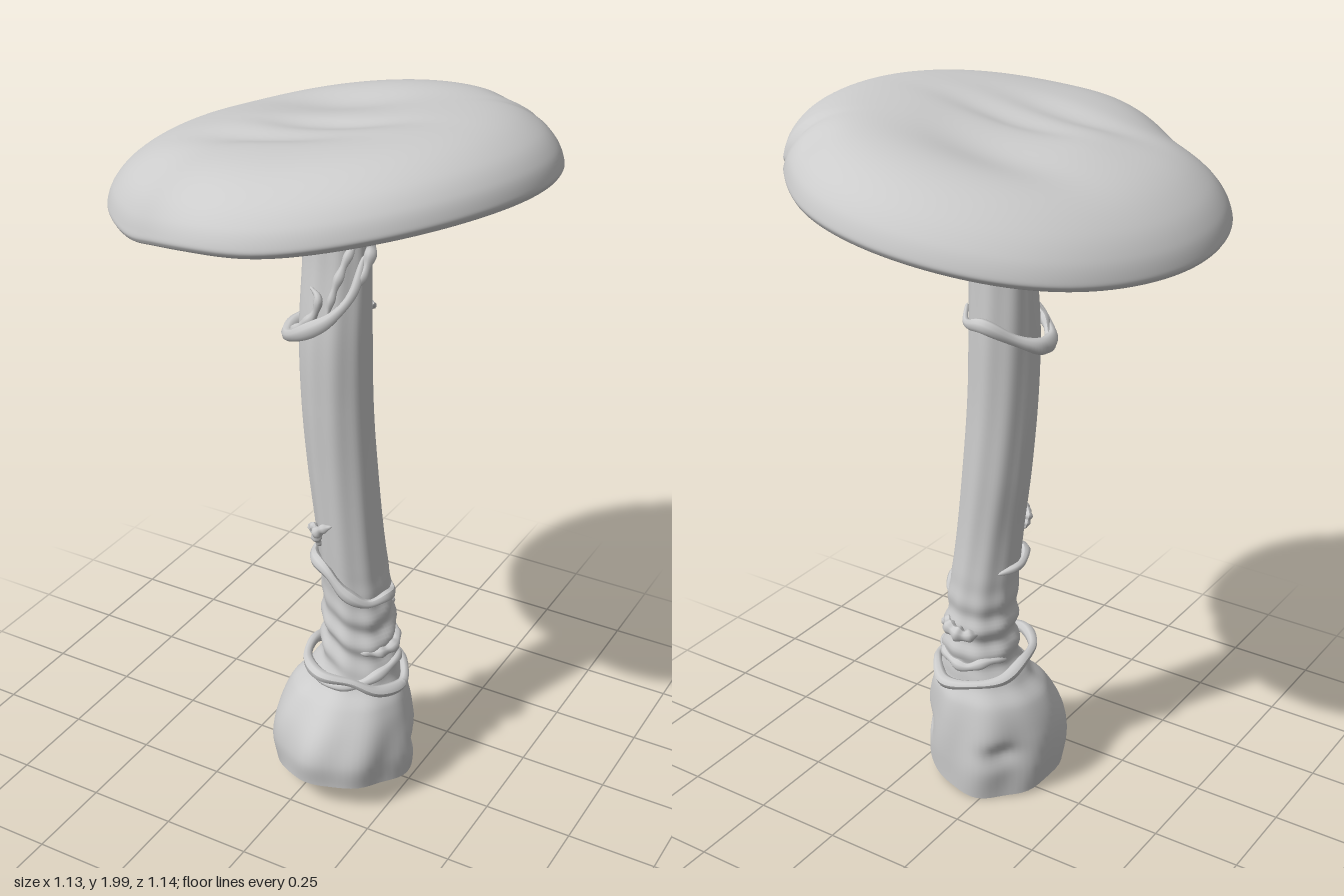
import * as THREE from 'three';
import { mergeVertices } from 'three/addons/utils/BufferGeometryUtils.js';

const material = new THREE.MeshStandardMaterial({ color: 0xcccccc, roughness: 0.8 });
const deg = Math.PI / 180;
const gauss = (d, w) => Math.exp(-(d * d) / (w * w));
const angleGap = (a, b) => Math.atan2(Math.sin(a - b), Math.cos(a - b));

// Stem outline by height: y, left x, right x, back z, front z
const stemRows = [
  [0, -0.125, 0.262, -0.14, 0.245],
  [0.1, -0.135, 0.265, -0.145, 0.25],
  [0.2, -0.13, 0.255, -0.14, 0.225],
  [0.3, -0.1, 0.235, -0.125, 0.175],
  [0.36, -0.055, 0.21, -0.1, 0.13],
  [0.42, -0.025, 0.195, -0.1, 0.11],
  [0.6, -0.02, 0.17, -0.1, 0.1],
  [0.8, -0.032, 0.147, -0.085, 0.105],
  [1.0, -0.055, 0.13, -0.08, 0.11],
  [1.2, -0.07, 0.117, -0.075, 0.115],
  [1.4, -0.077, 0.11, -0.075, 0.112],
  [1.6, -0.077, 0.102, -0.072, 0.085],
  [1.73, -0.078, 0.09, -0.078, 0.08],
  [1.79, -0.092, 0.1, -0.1, 0.1],
  [1.84, -0.13, 0.13, -0.135, 0.135],
];

// Cubic interpolation between the rows
function section(y) {
  let i = 0;
  while (i < stemRows.length - 2 && y > stemRows[i + 1][0]) i++;
  const row = (k) => stemRows[Math.min(Math.max(k, 0), stemRows.length - 1)];
  const [p, a, b, n] = [row(i - 1), row(i), row(i + 1), row(i + 2)];
  const h = b[0] - a[0];
  const t = (y - a[0]) / h;
  const [x0, x1, z0, z1] = [1, 2, 3, 4].map((k) => {
    const m0 = ((b[k] - p[k]) / (b[0] - p[0])) * h;
    const m1 = ((n[k] - a[k]) / (n[0] - a[0])) * h;
    const t2 = t * t, t3 = t2 * t;
    return (2 * t3 - 3 * t2 + 1) * a[k] + (t3 - 2 * t2 + t) * m0 + (3 * t2 - 2 * t3) * b[k] + (t3 - t2) * m1;
  });
  return { cx: (x0 + x1) / 2, cz: (z0 + z1) / 2, rx: (x1 - x0) / 2, rz: (z1 - z0) / 2 };
}

// Point on the stem: angle 0 = +x, 90 degrees = +z
function onStem(a, y, off = 0) {
  const s = section(y);
  return new THREE.Vector3(s.cx + (s.rx + off) * Math.cos(a), y, s.cz + (s.rz + off) * Math.sin(a));
}

// Slanted cut under the bulb
const cutHeight = (x, z) => Math.max(0.004, 0.055 + 0.1 * (x - 0.07) + 0.2 * (z - 0.05));

function stemSurface(a, y) {
  let off = 0;
  // folded skin above the bulb
  off += 0.007 * gauss(y - 0.5, 0.11) * Math.sin(75 * y + 2 * Math.sin(a + 1) + 1.2 * Math.sin(2 * a));
  // lumpy bulb with two dents
  const bulb = gauss(y - 0.12, 0.16);
  off += bulb * (0.007 * Math.cos(4 * a + 1) + 0.005 * Math.cos(7 * a + 9 * y));
  off -= 0.03 * gauss(angleGap(a, -25 * deg), 0.24) * gauss(y - 0.12, 0.04);
  off -= 0.02 * gauss(angleGap(a, 235 * deg), 0.25) * gauss(y - 0.15, 0.035);
  // faint lengthwise fibres
  off += 0.0018 * Math.sin(9 * a + 3 * y);
  const v = onStem(a, y, off);
  if (y < 0.35) v.y = y + cutHeight(v.x, v.z) * (1 - y / 0.35);
  return v;
}

// Lathe grid moved by a rule, then welded for smooth normals
function moved(points, segments, rule) {
  const g = new THREE.LatheGeometry(points, segments);
  const pos = g.attributes.position;
  const v = new THREE.Vector3();
  for (let i = 0; i < pos.count; i++) {
    v.fromBufferAttribute(pos, i);
    rule(v);
    pos.setXYZ(i, v.x, v.y, v.z);
  }
  g.deleteAttribute('uv');
  g.deleteAttribute('normal');
  const welded = mergeVertices(g, 1e-5);
  welded.computeVertexNormals();
  return welded;
}

function capGeometry() {
  const profile = [
    [0, 0.035], [0.15, 0.035], [0.35, 0.025], [0.5, 0.006], [0.545, -0.002], [0.56, 0.008], [0.562, 0.025],
    [0.545, 0.065], [0.505, 0.108], [0.44, 0.145], [0.36, 0.166], [0.25, 0.174], [0.12, 0.17], [0, 0.168],
  ].map(([r, h]) => new THREE.Vector2(r, h));
  const points = new THREE.SplineCurve(profile).getPoints(90);
  points.forEach((p) => { p.x = Math.max(0, p.x); });
  points[0].x = points[points.length - 1].x = 0;
  return moved(points, 128, (v) => {
    const r = Math.hypot(v.x, v.z);
    const a = Math.atan2(v.z, v.x);
    const edge = Math.min(1, r / 0.56) ** 3;
    const top = THREE.MathUtils.smoothstep(v.y, 0.05, 0.15);
    // uneven rim with a flattened side and a small split
    let k = 1 + edge * (0.006 * Math.cos(4 * a + 0.5) - 0.05 * gauss(angleGap(a, 122 * deg), 0.3)
      + 0.02 * gauss(angleGap(a, 228 * deg), 0.4) - 0.03 * gauss(angleGap(a, -42 * deg), 0.35));
    k += edge * 0.02 * gauss(angleGap(a, 85 * deg), 0.3);
    const split = gauss(angleGap(a, -35 * deg), 0.03) * edge;
    k -= 0.06 * split;
    v.x *= k;
    v.z *= k;
    // rim sags at the front right
    v.y += edge * (0.006 * Math.sin(3 * a) + 0.012 * gauss(angleGap(a, 95 * deg), 0.25)
      - 0.028 * gauss(angleGap(a, 128 * deg), 0.25));
    // shallow hollows and creases on top
    const dent = (x, z, wx, wz) => gauss(v.x - x, wx) * gauss(v.z - z, wz);
    v.y -= top * (0.022 * dent(-0.08, -0.18, 0.2, 0.1) + 0.014 * dent(0, 0.05, 0.2, 0.05)
      + 0.014 * dent(-0.08, 0.18, 0.18, 0.05) - 0.008 * dent(-0.18, 0.05, 0.12, 0.07)
      + 0.01 * dent(0.32, -0.38, 0.05, 0.06));
    // tilt
    v.y += 1.782 + 0.145 * v.x + 0.012 * v.z;
  });
}

// Tapered shred of skin along [angle in degrees, height, offset] points
function shred(name, points, thickness, tall = 1, closed = false) {
  const curve = new THREE.CatmullRomCurve3(points.map(([a, y, off]) => onStem(a * deg, y, off)), closed);
  const n = points.length * 10;
  const g = new THREE.TubeGeometry(curve, n, thickness, 8, closed);
  const pos = g.attributes.position;
  const v = new THREE.Vector3();
  for (let i = 0; i < pos.count; i++) {
    const t = Math.floor(i / 9) / n;
    const c = curve.getPointAt(t);
    const size = (closed ? 1 : Math.pow(Math.sin(Math.PI * t), 0.4) + 0.02) * (1 + 0.2 * Math.sin(t * 25));
    v.fromBufferAttribute(pos, i).sub(c).multiplyScalar(size);
    v.y *= tall;
    v.add(c);
    pos.setXYZ(i, v.x, v.y, v.z);
  }
  g.computeVertexNormals();
  const mesh = new THREE.Mesh(g, material);
  mesh.name = name;
  return mesh;
}

export function createModel() {
  const model = new THREE.Group();
  model.name = 'mushroom';
  const add = (name, geometry) => {
    const mesh = new THREE.Mesh(geometry, material);
    mesh.name = name;
    model.add(mesh);
  };

  add('cap', capGeometry());

  const heights = Array.from({ length: 181 }, (_, i) => new THREE.Vector2(1, (i / 180) * 1.84));
  add('stemAndBulb', moved(heights, 64, (v) => v.copy(stemSurface(Math.atan2(v.z, v.x), v.y))));

  // Base disc, slightly hollow, turned face down
  const rings = [0, 0.3, 0.6, 0.85, 1].map((r) => new THREE.Vector2(r, 0));
  add('base', moved(rings, 64, (v) => {
    const r = Math.hypot(v.x, v.z);
    const rim = stemSurface(Math.atan2(v.z, v.x), 0);
    const s = section(0);
    v.set(s.cx + (rim.x - s.cx) * r, 0, s.cz + (rim.z - s.cz) * r);
    v.y = cutHeight(v.x, v.z) + 0.015 * (1 - r * r);
  }));

  // Torn ring below the cap
  const veil = new THREE.Group();
  veil.name = 'tornRing';
  veil.add(
    shred('ringBand', [[15, 1.62, 0.004], [40, 1.53, 0.012], [70, 1.47, 0.02], [110, 1.42, 0.025], [150, 1.385, 0.03],
      [185, 1.385, 0.03], [220, 1.41, 0.014], [265, 1.45, 0.024], [300, 1.44, 0.016], [335, 1.47, 0.004]], 0.017, 1.2),
    shred('ringStrand', [[-10, 1.74, 0], [12, 1.69, 0.01], [5, 1.64, 0.016], [20, 1.58, 0.012], [38, 1.53, 0.006]], 0.014),
    shred('ringFlap', [[165, 1.38, 0.028], [125, 1.42, 0.018], [95, 1.47, 0.012], [88, 1.52, 0.016], [105, 1.54, 0.01]], 0.012),
    shred('ringSideStrand', [[14, 1.69, 0.008], [40, 1.64, 0.004], [65, 1.55, 0.014], [75, 1.47, 0.012]], 0.011),
  );

  // Skin scraps on the lower stem
  const scraps = new THREE.Group();
  scraps.name = 'stemScraps';
  scraps.add(
    shred('scrapBand', [[215, 0.71, 0], [180, 0.725, 0.016], [140, 0.73, 0.012], [105, 0.715, 0.008], [75, 0.66, 0.008],
      [45, 0.63, 0.012], [15, 0.635, 0.016], [-20, 0.62, 0.004], [-50, 0.62, 0]], 0.016),
    shred('scrapSpur', [[125, 0.78, 0], [118, 0.82, 0.014], [105, 0.85, 0.02], [85, 0.87, 0.012]], 0.014),
    shred('scrapSpurFork', [[110, 0.84, 0.014], [130, 0.84, 0.014], [140, 0.8, 0.006]], 0.011),
    shred('backScrap', [[310, 0.545, 0], [285, 0.535, 0.014], [262, 0.525, 0.014], [240, 0.53, 0]], 0.02),
    shred('sideScrap', [[60, 0.47, 0], [25, 0.465, 0.004], [0, 0.475, 0.012], [-30, 0.5, 0]], 0.015),
  );

  // Ragged collar on the bulb
  const collar = new THREE.Group();
  collar.name = 'bulbCollar';
  collar.add(
    shred('collarBand', [[0, 0.355, 0.016], [40, 0.365, 0.018], [70, 0.4, 0.035], [100, 0.415, 0.06], [135, 0.415, 0.04],
      [175, 0.415, 0.022], [215, 0.385, 0.016], [255, 0.37, 0.018], [290, 0.355, 0.022], [330, 0.37, 0.012]], 0.015, 1, true),
    shred('collarFold', [[130, 0.36, 0], [95, 0.365, 0.008], [60, 0.385, 0.012], [25, 0.41, 0.008], [-10, 0.42, 0.004], [-50, 0.4, 0]], 0.014),
    shred('collarBackFold', [[195, 0.43, 0], [225, 0.44, 0.006], [260, 0.42, 0.01], [300, 0.43, 0.004], [330, 0.44, 0]], 0.014),
  );

  model.add(veil, scraps, collar);
  return model;
}
